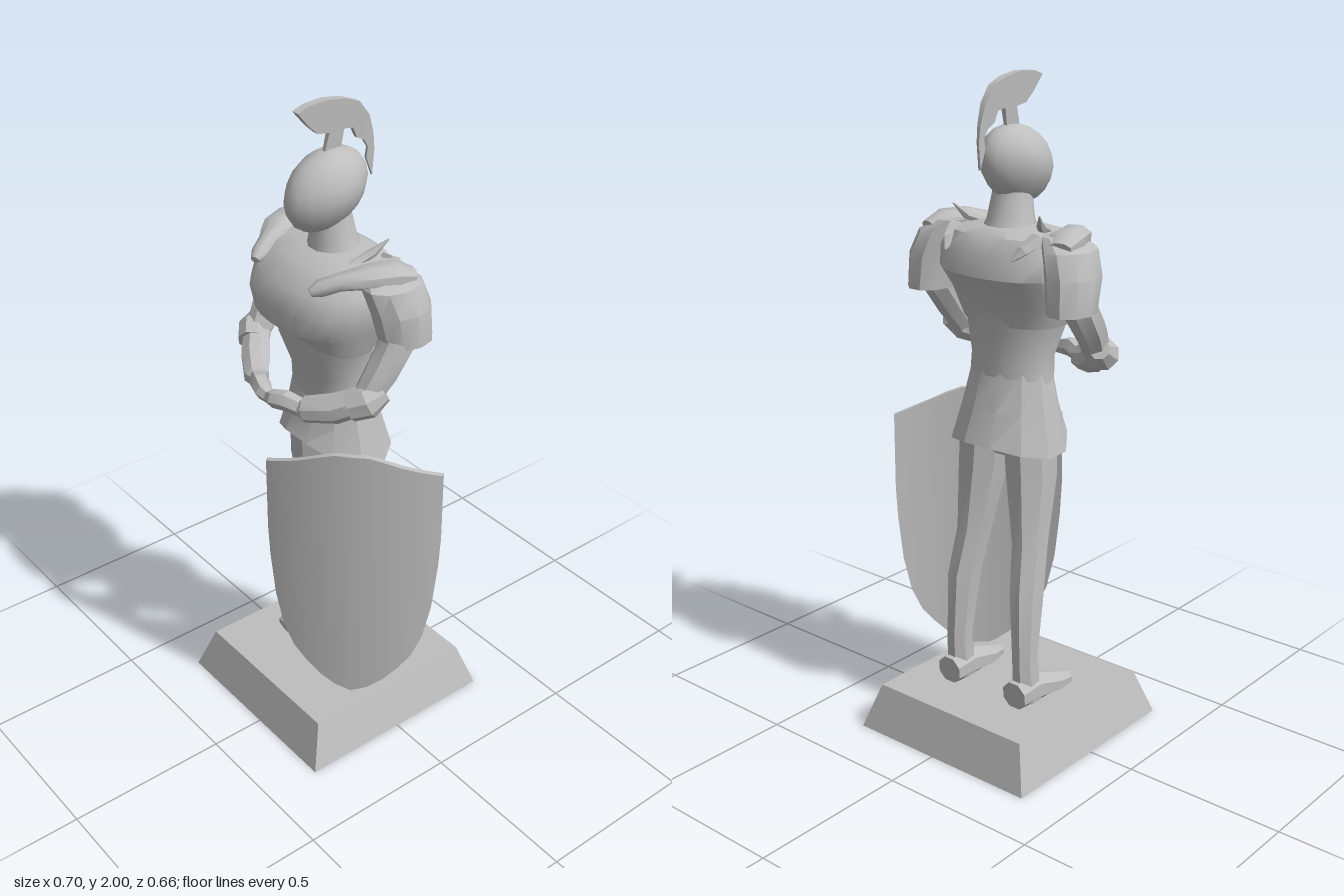
import * as THREE from 'three';
import { toCreasedNormals } from 'three/addons/utils/BufferGeometryUtils.js';

const stone = new THREE.MeshStandardMaterial({ color: 0xbebebe, side: THREE.DoubleSide });
stone.name = 'grey stone';
const V = (x, y, z) => new THREE.Vector3(x, y, z);

function addMesh(parent, name, geometry, crease = 0.7) {
  const mesh = new THREE.Mesh(toCreasedNormals(geometry, crease), stone);
  mesh.name = name;
  parent.add(mesh);
  return mesh;
}

// Skin a list of closed rings, with optional end caps.
function skin(rings, capStart = true, capEnd = true) {
  const n = rings[0].length, pos = [], index = [];
  rings.forEach(r => r.forEach(p => pos.push(p.x, p.y, p.z)));
  for (let r = 0; r < rings.length - 1; r++) {
    for (let i = 0; i < n; i++) {
      const a = r * n + i, b = r * n + (i + 1) % n;
      index.push(a, b, b + n, a, b + n, a + n);
    }
  }
  const cap = (r, flip) => {
    const c = rings[r].reduce((s, p) => s.add(p), V(0, 0, 0)).divideScalar(n);
    const k = pos.length / 3;
    pos.push(c.x, c.y, c.z);
    for (let i = 0; i < n; i++) {
      const a = r * n + i, b = r * n + (i + 1) % n;
      flip ? index.push(k, b, a) : index.push(k, a, b);
    }
  };
  if (capStart) cap(0, true);
  if (capEnd) cap(rings.length - 1, false);
  const g = new THREE.BufferGeometry();
  g.setAttribute('position', new THREE.Float32BufferAttribute(pos, 3));
  g.setIndex(index);
  return g;
}

// Horizontal ring: half width, front z, back z; power above 2 squares it off.
function ring(y, rx, zf, zb, { cx = 0, n = 24, power = 2, lift = () => 0 } = {}) {
  return Array.from({ length: n }, (_, i) => {
    const a = (i + 0.5) / n * Math.PI * 2, s = Math.sin(a), c = Math.cos(a);
    const k = 1 / Math.pow(Math.abs(s) ** power + Math.abs(c) ** power, 1 / power);
    const mid = (zf + zb) / 2, half = (zf - zb) / 2;
    return V(cx + rx * s * k, y + lift(s, c), mid + half * c * k);
  });
}

// Tapering limb through points [x, y, z, radius, radius across].
function limb(points, up, n = 8) {
  const p = points.map(q => V(q[0], q[1], q[2]));
  return skin(points.map((q, i) => {
    const t = p[Math.min(i + 1, p.length - 1)].clone().sub(p[Math.max(i - 1, 0)]).normalize();
    const s = t.clone().cross(up).normalize(), f = s.clone().cross(t);
    return Array.from({ length: n }, (_, j) => {
      const a = (j + 0.5) / n * Math.PI * 2;
      return p[i].clone().addScaledVector(s, Math.sin(a) * (q[4] ?? q[3]))
        .addScaledVector(f, Math.cos(a) * q[3]);
    });
  }));
}

function addTorso(body) {
  const squarish = { power: 2.5 };
  // Tunic skirt: hem high in front, low at the sides
  const hem = (s, c) => (c > 0 ? 0.08 : 0.035) * c * c;
  addMesh(body, 'tunicSkirt', skin([
    ring(0.92, 0.188, 0.15, -0.155, { n: 12, lift: hem }),
    ring(1.05, 0.158, 0.125, -0.12, { n: 12 }),
    ring(1.16, 0.133, 0.105, -0.088, { n: 12 }),
  ], false, false), 0.4);
  addMesh(body, 'pelvis', skin([
    ring(0.9, 0.06, 0.05, -0.05), ring(0.97, 0.14, 0.1, -0.1), ring(1.08, 0.14, 0.1, -0.09),
  ]));
  addMesh(body, 'abdomen', skin([
    ring(1.13, 0.137, 0.11, -0.09), ring(1.2, 0.132, 0.115, -0.087),
    ring(1.3, 0.16, 0.15, -0.09), ring(1.4, 0.19, 0.16, -0.11),
  ]));
  // Breastplate with an arched lower edge and a ridged back
  addMesh(body, 'breastplate', skin([
    ring(1.3, 0.165, 0.172, -0.085, { ...squarish, lift: (s, c) => 0.065 * Math.max(0, c) ** 2 }),
    ring(1.385, 0.2, 0.206, -0.112, squarish),
    ring(1.45, 0.222, 0.217, -0.155, squarish),
    ring(1.51, 0.222, 0.19, -0.145, squarish),
    ring(1.56, 0.19, 0.13, -0.115, squarish),
    ring(1.58, 0.1, 0.075, -0.08),
  ]), 0.6);
  addMesh(body, 'neck', skin([
    ring(1.55, 0.085, 0.08, -0.09, { n: 12 }), ring(1.6, 0.065, 0.075, -0.068, { n: 12 }),
    ring(1.68, 0.052, 0.07, -0.05, { n: 12 }),
  ]));
}

function addHead(body) {
  // Helmet: an egg, drawn to a keel in front and low at the chin
  const g = new THREE.SphereGeometry(1, 16, 10);
  const p = g.attributes.position;
  for (let i = 0; i < p.count; i++) {
    const x = p.getX(i), y = p.getY(i), z = p.getZ(i);
    const narrow = (1 - 0.2 * z * z) * (y < 0 ? 1 + 0.22 * y : 1);
    p.setXYZ(i, 0.093 * x * narrow, 1.745 + 0.112 * y - 0.022 * z, 0.027 + 0.132 * z);
  }
  addMesh(body, 'helmet', g, 0.8);

  // Crest plume, outlined in z and y
  const outline = [
    [0.127, 1.985], [0.09, 1.997], [0.03, 2.0], [-0.03, 1.99], [-0.08, 1.97], [-0.115, 1.925],
    [-0.132, 1.87], [-0.138, 1.82], [-0.131, 1.745], [-0.11, 1.8], [-0.115, 1.83], [-0.1, 1.855],
    [-0.075, 1.868], [-0.06, 1.9], [-0.03, 1.905], [-0.02, 1.85], [0.035, 1.85], [0.02, 1.905],
    [0.06, 1.912], [0.09, 1.94],
  ];
  const plume = new THREE.ExtrudeGeometry(
    new THREE.Shape(outline.map(q => new THREE.Vector2(...q))), { depth: 1, bevelEnabled: false });
  plume.translate(0, 0, -0.5).rotateY(-Math.PI / 2);
  const q = plume.attributes.position;
  for (let i = 0; i < q.count; i++) {
    const width = THREE.MathUtils.clamp(0.009 + (q.getY(i) - 1.84) * 0.11, 0.008, 0.026);
    q.setX(i, q.getX(i) * width);
  }
  addMesh(body, 'plume', plume);
}

// Arm, pauldron and leg of one side; m is 1 for left and -1 for right.
function addSide(body, m) {
  const side = new THREE.Group();
  side.name = m > 0 ? 'leftLimbs' : 'rightLimbs';
  body.add(side);
  const at = pts => pts.map(([x, ...rest]) => [m * x, ...rest]);
  const y = V(0, 1, 0), z = V(0, 0, 1);

  addMesh(side, 'leg', skin([
    [0.13, 0.15, 0.045, -0.02, -0.125], [0.13, 0.28, 0.036, -0.04, -0.13],
    [0.122, 0.5, 0.046, 0.0, -0.13], [0.107, 0.65, 0.05, 0.035, -0.1],
    [0.092, 0.85, 0.073, 0.08, -0.1], [0.08, 1.02, 0.08, 0.09, -0.1],
  ].map(([x, h, rx, zf, zb]) => ring(h, rx, zf, zb, { cx: m * x, n: 8 }))), 0.5);
  addMesh(side, 'foot', limb(at([
    [0.13, 0.18, -0.135, 0.045, 0.045], [0.13, 0.185, -0.06, 0.055, 0.05],
    [0.135, 0.17, 0.03, 0.035, 0.055], [0.14, 0.158, 0.1, 0.02, 0.035],
  ]), y, 8), 0.4);

  addMesh(side, 'upperArm', limb(at([
    [0.25, 1.23, 0.085, 0.04], [0.262, 1.3, 0.04, 0.048],
    [0.262, 1.4, -0.03, 0.055], [0.245, 1.5, -0.04, 0.06],
  ]), z), 0.6);
  addMesh(side, 'elbow', limb(at([
    [0.285, 1.25, 0.05, 0.03], [0.265, 1.225, 0.09, 0.05], [0.23, 1.205, 0.125, 0.045],
  ]), y), 0.5);
  addMesh(side, 'forearm', limb(at([
    [0.255, 1.225, 0.09, 0.04], [0.19, 1.185, 0.145, 0.044],
    [0.115, 1.165, 0.195, 0.038], [0.1, 1.165, 0.2, 0.026],
  ]), y), 0.5);
  addMesh(side, 'hand', limb(at([
    [0.115, 1.165, 0.195, 0.026], [0.06, 1.178, 0.222, 0.03],
    [0.025, 1.172, 0.235, 0.027], [-0.012, 1.165, 0.235, 0.018],
  ]), y, 6), 0.4);

  // Shoulder armour, open below
  addMesh(side, 'pauldron', skin([
    [0.258, 1.37, 0.065, 0.035, -0.13], [0.252, 1.47, 0.073, 0.06, -0.125],
    [0.228, 1.54, 0.07, 0.075, -0.11], [0.19, 1.575, 0.04, 0.05, -0.08],
  ].map(([x, h, rx, zf, zb]) => ring(h, rx, zf, zb, { cx: m * x, n: 10 })), false, true), 0.6);
  // Beast head resting on the shoulder, with a swept horn
  addMesh(side, 'shoulderBeast', limb(at([
    [0.24, 1.55, -0.08, 0.02, 0.035], [0.225, 1.565, -0.03, 0.032, 0.055],
    [0.2, 1.565, 0.04, 0.032, 0.05], [0.16, 1.553, 0.11, 0.025, 0.028],
    [0.135, 1.54, 0.155, 0.024, 0.026], [0.125, 1.53, 0.18, 0.012, 0.014],
  ]), y), 0.9);
  addMesh(side, 'shoulderHorn', limb(at([
    [0.125, 1.545, 0.1, 0.008], [0.12, 1.565, 0.03, 0.014],
    [0.135, 1.59, -0.03, 0.013], [0.158, 1.628, -0.065, 0.002],
  ]), y, 6));
  addMesh(side, 'backSpike', limb(at([
    [0.15, 1.56, -0.06, 0.025], [0.135, 1.535, -0.11, 0.018], [0.12, 1.51, -0.142, 0.003],
  ]), y, 5), 0.3);
}

// Curved shield as vertical slices, each a ring of front and back corners.
function addShield(group) {
  const W = 0.258, n = 16;
  const edge = [[0, 0.145], [0.06, 0.168], [0.12, 0.215], [0.19, 0.3], [0.228, 0.4], [0.25, 0.56], [W, 0.72]];
  const bottomAt = u => {
    for (let i = 1; i < edge.length; i++) {
      const [a, ya] = edge[i - 1], [b, yb] = edge[i];
      if (u <= b + 1e-6) return ya + (yb - ya) * (u - a) / (b - a);
    }
  };
  const slices = [];
  for (let i = 0; i <= n; i++) {
    const u = -Math.cos(i / n * Math.PI) * W, a = Math.abs(u);
    const top = a < 0.07 ? 1.025 : 1.025 - 0.07 * ((a - 0.07) / (W - 0.07)) ** 0.8;
    const bulge = 0.05 * (1 - (u / W) ** 2), low = bottomAt(a);
    slices.push([V(u, low, bulge), V(u, low, bulge - 0.016), V(u, top, bulge - 0.016), V(u, top, bulge)]);
  }
  const shield = addMesh(group, 'shield', skin(slices), 0.5);
  shield.position.set(0.16, 0, 0.078);
  shield.rotation.y = Math.atan2(0.677, 0.735);
}

export function createModel() {
  const group = new THREE.Group();
  group.name = 'knightStatue';

  // Plinth, hollow underneath
  const rect = (y, x0, x1, z0, z1) => [V(x0, y, z1), V(x1, y, z1), V(x1, y, z0), V(x0, y, z0)];
  addMesh(group, 'plinth', skin([
    rect(0, -0.35, 0.29, -0.33, 0.33), rect(0.14, -0.305, 0.245, -0.285, 0.282),
  ], false, true), 0.2);

  const body = new THREE.Group();
  body.name = 'knight';
  body.position.x = -0.03;
  group.add(body);
  addTorso(body);
  addHead(body);
  for (const m of [1, -1]) addSide(body, m);
  addShield(group);
  return group;
}
